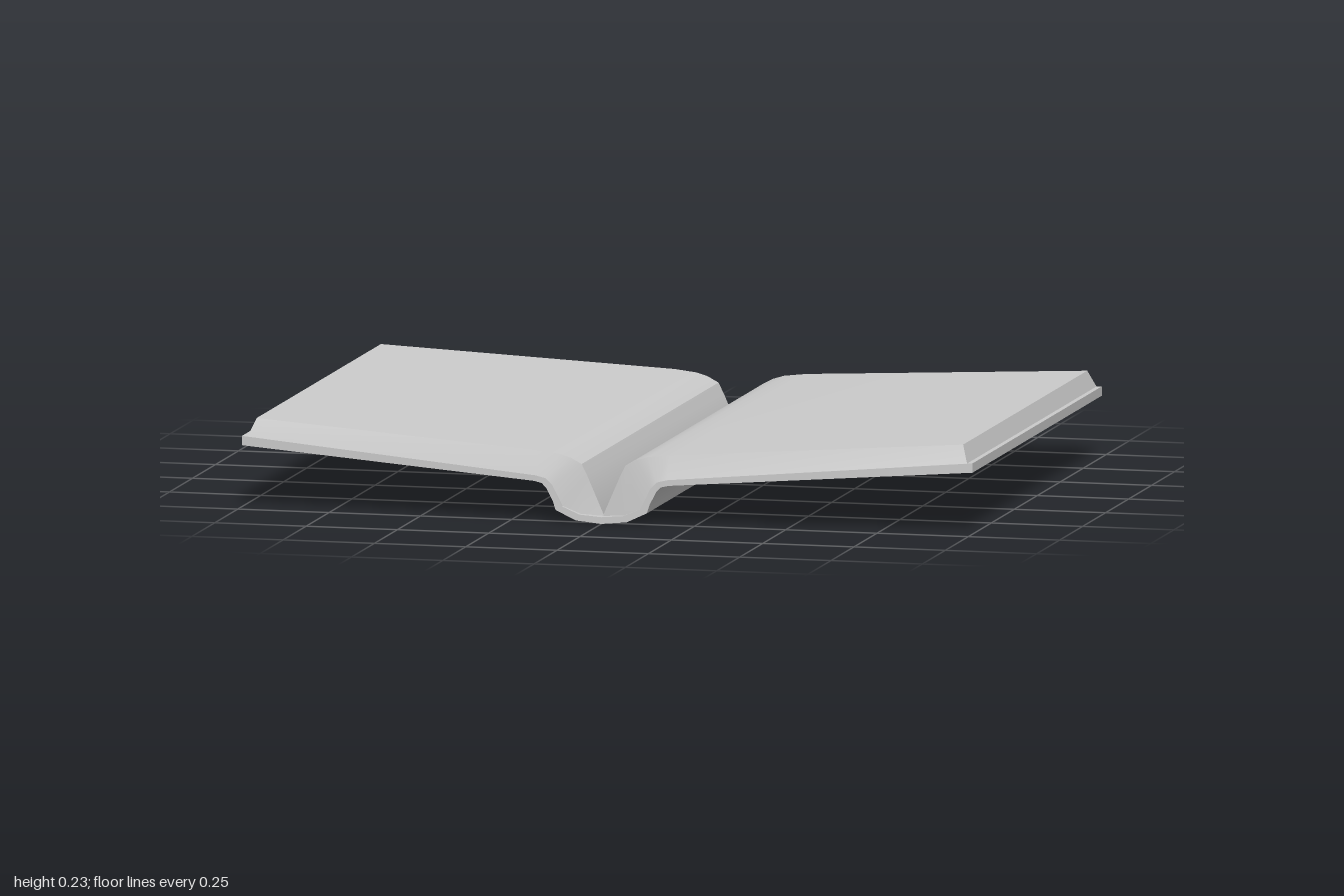
import * as THREE from 'three';
import { toCreasedNormals } from 'three/addons/utils/BufferGeometryUtils.js';

const material = new THREE.MeshStandardMaterial({ color: 0xcccccc });

// Lofts four-cornered sections that follow each other towards +x.
// Section: [bottomX, bottomY, bottomHalfDepth, topX, topY, topHalfDepth]
function loft(name, sections) {
  const positions = [];
  const index = [];
  for (const [bx, by, bz, tx, ty, tz] of sections) {
    positions.push(bx, by, bz, tx, ty, tz, tx, ty, -tz, bx, by, -bz);
  }
  const quad = (a, b, c, d) => index.push(a, b, c, a, c, d);
  for (let i = 0; i < sections.length - 1; i++) {
    for (let j = 0; j < 4; j++) {
      const k = (j + 1) % 4;
      quad(i * 4 + j, i * 4 + 4 + j, i * 4 + 4 + k, i * 4 + k);
    }
  }
  const last = (sections.length - 1) * 4;
  quad(0, 1, 2, 3);
  quad(last, last + 3, last + 2, last + 1);
  const geometry = new THREE.BufferGeometry();
  geometry.setAttribute('position', new THREE.Float32BufferAttribute(positions, 3));
  geometry.setIndex(index);
  const mesh = new THREE.Mesh(toCreasedNormals(geometry, 0.6), material);
  mesh.name = name;
  return mesh;
}

// Same sections on the other side, again ordered towards +x
const mirror = (sections) =>
  sections.map(([bx, by, bz, tx, ty, tz]) => [-bx, by, bz, -tx, ty, tz]).reverse();

// The boards get shallower from the hinge to the outer edge
const coverDepth = (x) => 0.77 - 0.065 * Math.max(0, (x - 0.18) / 0.82);

export function createModel() {
  const book = new THREE.Group();
  book.name = 'openBook';

  // Cover: rounded spine, hinge and flat board in one sheet
  const half = [
    [0, 0, 0, 0.018],
    [0.07, 0.007, 0.06, 0.023],
    [0.125, 0.033, 0.107, 0.043],
    [0.132, 0.055, 0.117, 0.063],
    [0.15, 0.09, 0.135, 0.1],
    [0.163, 0.104, 0.152, 0.117],
    [0.185, 0.109, 0.18, 0.124],
    [1, 0.165, 1, 0.19],
  ].map(([bx, by, tx, ty]) => [bx, by, coverDepth(bx), tx, ty, coverDepth(tx)]);
  book.add(loft('cover', [...mirror(half).slice(0, -1), ...half]));

  // Page blocks: bevelled edges, rounded towards the gutter
  const pages = [
    [0, 0.017, 0.745, 0, 0.022, 0.744],
    [0.06, 0.023, 0.755, 0.045, 0.125, 0.744],
    [0.107, 0.043, 0.762, 0.06, 0.155, 0.744],
    [0.135, 0.1, 0.768, 0.09, 0.171, 0.744],
    [0.152, 0.117, 0.77, 0.12, 0.18, 0.744],
    [0.18, 0.124, 0.768, 0.18, 0.187, 0.744],
    [0.985, 0.189, 0.704, 0.967, 0.235, 0.675],
  ];
  book.add(loft('leftPages', pages), loft('rightPages', mirror(pages)));
  return book;
}
